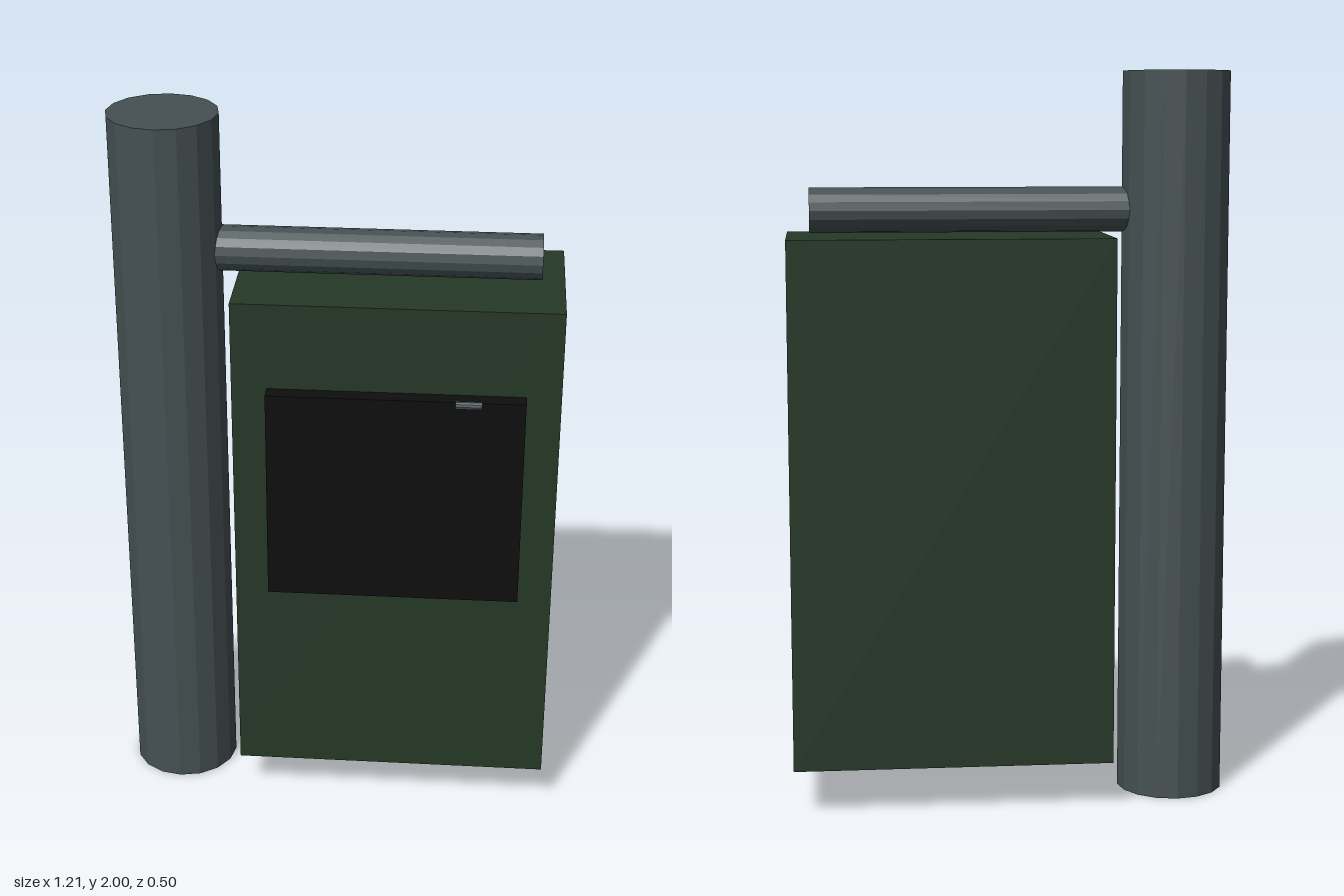
import * as THREE from 'three';

export function createModel() {
  const group = new THREE.Group();
  const paint = (name, color) => {
    const m = new THREE.MeshStandardMaterial({ color, flatShading: true });
    m.name = name;
    return m;
  };
  const steel = paint('grey steel', 0x455052);
  const green = paint('dark green', 0x253826);
  const black = paint('black', 0x0e0e0e);

  const add = (name, geometry, material, x, y, z) => {
    const mesh = new THREE.Mesh(geometry, material);
    mesh.name = name;
    mesh.position.set(x, y, z);
    group.add(mesh);
    return mesh;
  };
  // Cylinder lying along x, from x0 to x1
  const bar = (name, radius, sides, x0, x1, y, z) => {
    const geometry = new THREE.CylinderGeometry(radius, radius, x1 - x0, sides);
    geometry.rotateZ(Math.PI / 2);
    return add(name, geometry, steel, (x0 + x1) / 2, y, z);
  };

  const axisZ = -0.036;

  // Upright post and the arm that carries the cabinet
  add('post', new THREE.CylinderGeometry(0.148, 0.148, 2, 16), steel, -0.458, 1, axisZ);
  bar('supportArm', 0.061, 16, -0.44, 0.54, 1.628, axisZ);

  // Cabinet hanging below the arm
  add('cabinet', new THREE.BoxGeometry(0.87, 1.43, 0.43), green, 0.167, 0.845, -0.036);

  // Raised front door and its small handle
  add('frontDoor', new THREE.BoxGeometry(0.684, 0.6, 0.05), black, 0.168, 1.02, 0.199);
  bar('doorHandle', 0.011, 10, 0.326, 0.395, 1.32, 0.239);

  return group;
}
